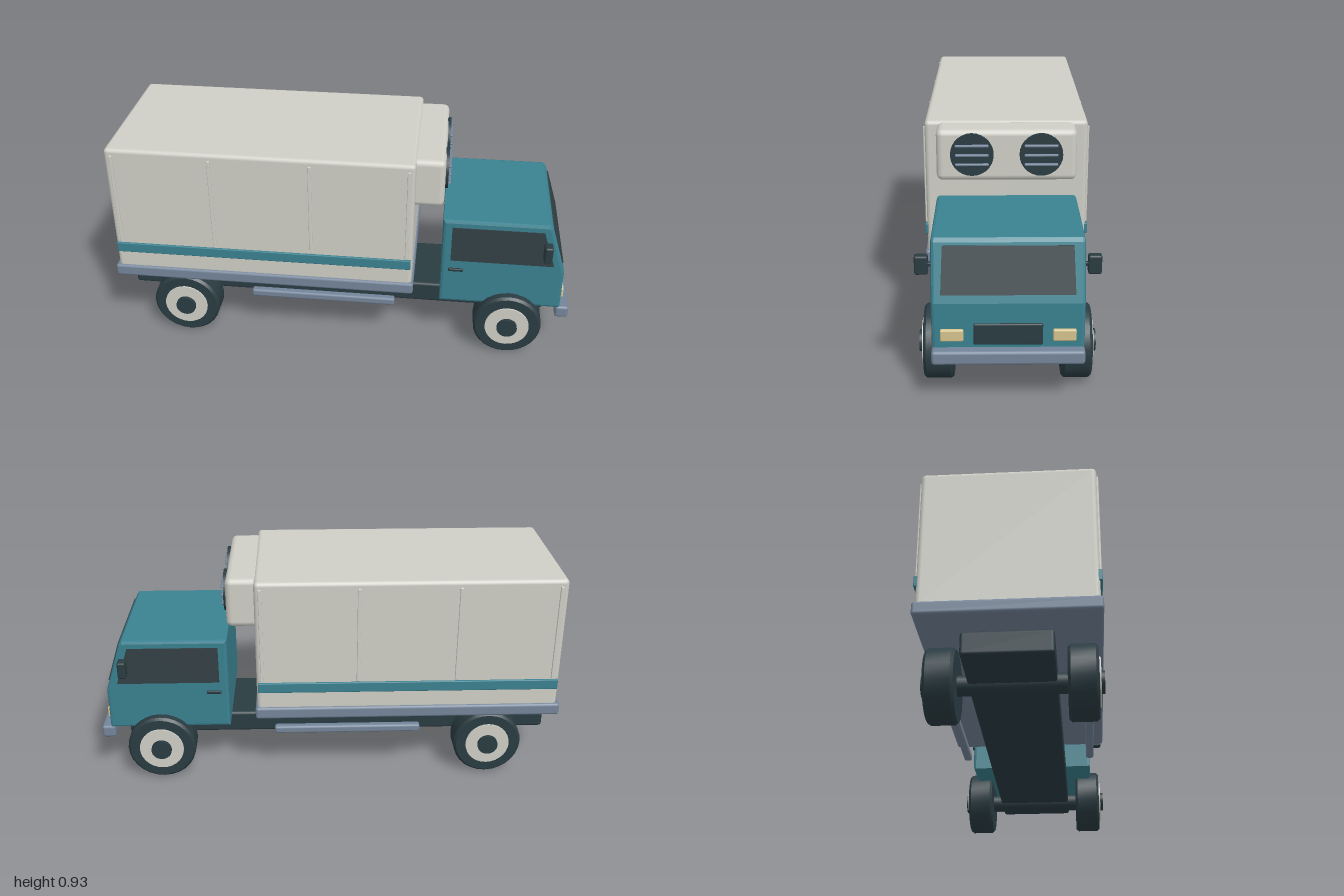
import * as THREE from 'three';
import { toCreasedNormals } from 'three/addons/utils/BufferGeometryUtils.js';
import { RoundedBoxGeometry } from 'three/addons/geometries/RoundedBoxGeometry.js';

const mat = (name, color) => {
  const m = new THREE.MeshStandardMaterial({ color });
  m.name = name;
  return m;
};

export function createModel() {
  const truck = new THREE.Group();
  truck.name = 'refrigeratedTruck';

  const cream = mat('cream', 0xcfcfc7);
  const teal = mat('teal', 0x3a8190);
  const steel = mat('steel', 0x74859a);
  const dark = mat('darkSlate', 0x2a3c42);
  const glass = mat('glass', 0x344146);
  const amber = mat('headlightCream', 0xd6c48e);

  const add = (name, geometry, material, x = 0, y = 0, z = 0, parent = truck) => {
    const mesh = new THREE.Mesh(geometry, material);
    mesh.name = name;
    mesh.position.set(x, y, z);
    parent.add(mesh);
    return mesh;
  };
  // Bevelled box given by its extents on each axis
  const box = (name, material, [x0, x1], [y0, y1], [z0, z1], r = 0.006) =>
    add(name, new RoundedBoxGeometry(x1 - x0, y1 - y0, z1 - z0, 2, r), material,
      (x0 + x1) / 2, (y0 + y1) / 2, (z0 + z1) / 2);
  // Same box on both sides of the truck
  const pair = (name, material, xs, ys, [z0, z1], r) => {
    box(name + 'Left', material, xs, ys, [-z1, -z0], r);
    box(name + 'Right', material, xs, ys, [z0, z1], r);
  };
  const polygon = pts => new THREE.Shape(pts.map(p => new THREE.Vector2(...p)));

  // Chassis and load bed
  box('chassis', dark, [-0.98, 0.9], [0.14, 0.235], [-0.17, 0.17], 0.012);
  box('loadBed', steel, [-1, 0.32], [0.3, 0.355], [-0.348, 0.348], 0.012);
  pair('sideRail', steel, [-0.4, 0.24], [0.2, 0.235], [0.268, 0.303], 0.01);

  // Cargo box with stripe and vertical ribs
  box('cargoBox', cream, [-0.985, 0.312], [0.34, 0.93], [-0.338, 0.338], 0.018);
  pair('stripe', teal, [-0.98, 0.306], [0.428, 0.474], [0.325, 0.347], 0.004);
  for (const x of [-0.955, -0.542, -0.122, 0.287])
    pair('rib', cream, [x - 0.007, x + 0.007], [0.478, 0.902], [0.33, 0.345], 0.003);

  // Cooling unit with two slatted fans
  box('coolingUnit', cream, [0.29, 0.432], [0.71, 0.925], [-0.285, 0.285], 0.025);
  for (const z of [-0.14, 0.14]) {
    add('fan', new THREE.CylinderGeometry(0.088, 0.088, 0.02, 28).rotateZ(Math.PI / 2),
      dark, 0.434, 0.825, z);
    for (const y of [0.786, 0.825, 0.864])
      box('fanSlat', steel, [0.438, 0.455], [y - 0.005, y + 0.005], [z - 0.068, z + 0.068], 0.004);
  }

  // Cab with sloping front
  const bevel = 0.012, halfCab = 0.285;
  const cabShape = polygon([[0.435, 0.235], [0.96, 0.235], [0.96, 0.42], [0.892, 0.635],
    [0.88, 0.65], [0.435, 0.65]]);
  const cab = new THREE.ExtrudeGeometry(cabShape, {
    depth: 2 * (halfCab - bevel), bevelEnabled: true, bevelThickness: bevel,
    bevelSize: bevel, bevelOffset: -bevel, bevelSegments: 2,
  });
  cab.translate(0, 0, bevel - halfCab);
  add('cab', cab, teal);

  // Windscreen laid on the slope
  const screen = new THREE.ExtrudeGeometry(
    polygon([[-0.249, -0.092], [0.249, -0.092], [0.242, 0.09], [-0.242, 0.09]]),
    { depth: 0.007, bevelEnabled: false });
  screen.rotateX(-Math.atan(0.068 / 0.215)).rotateY(Math.PI / 2);
  add('windscreen', screen, glass, 0.921, 0.5375, 0);

  // Side windows, handles and mirrors
  const windowShape = polygon([[0.474, 0.452], [0.913, 0.452], [0.858, 0.618], [0.474, 0.618]]);
  const windowPlate = new THREE.ExtrudeGeometry(windowShape, { depth: 0.006, bevelEnabled: false });
  add('sideWindowRight', windowPlate, glass, 0, 0, halfCab - 0.003);
  add('sideWindowLeft', windowPlate, glass, 0, 0, -halfCab - 0.003);
  pair('doorHandle', dark, [0.467, 0.53], [0.399, 0.413], [0.28, 0.294], 0.004);
  pair('mirror', dark, [0.86, 0.895], [0.505, 0.58], [0.296, 0.347], 0.008);
  pair('mirrorArm', dark, [0.87, 0.885], [0.535, 0.55], [0.28, 0.3], 0.004);

  // Nose details
  box('grille', dark, [0.95, 0.968], [0.253, 0.34], [-0.129, 0.129], 0.006);
  pair('headlight', amber, [0.95, 0.973], [0.27, 0.317], [0.166, 0.253], 0.006);
  box('bumper', steel, [0.942, 1], [0.185, 0.241], [-0.286, 0.286], 0.012);

  // Axles and wheels
  const tyre = toCreasedNormals(new THREE.LatheGeometry(
    [[0, -0.058], [0.138, -0.058], [0.148, -0.047], [0.148, 0.047], [0.138, 0.058], [0, 0.058]]
      .map(p => new THREE.Vector2(...p)), 28), 0.5).rotateX(Math.PI / 2);
  const disc = (r, h) => new THREE.CylinderGeometry(r, r, h, 28).rotateX(Math.PI / 2);
  const rim = disc(0.096, 0.02), cap = disc(0.044, 0.03);
  for (const x of [-0.7, 0.738]) {
    add('axle', disc(0.04, 0.46), dark, x, 0.15, 0);
    for (const side of [-1, 1]) {
      const wheel = new THREE.Group();
      wheel.name = (x > 0 ? 'front' : 'rear') + 'Wheel';
      wheel.position.set(x, 0.15, side * 0.268);
      add('tyre', tyre, dark, 0, 0, 0, wheel);
      add('rim', rim, cream, 0, 0, side * 0.055, wheel);
      add('hubCap', cap, dark, 0, 0, side * 0.064, wheel);
      truck.add(wheel);
    }
  }
  return truck;
}
